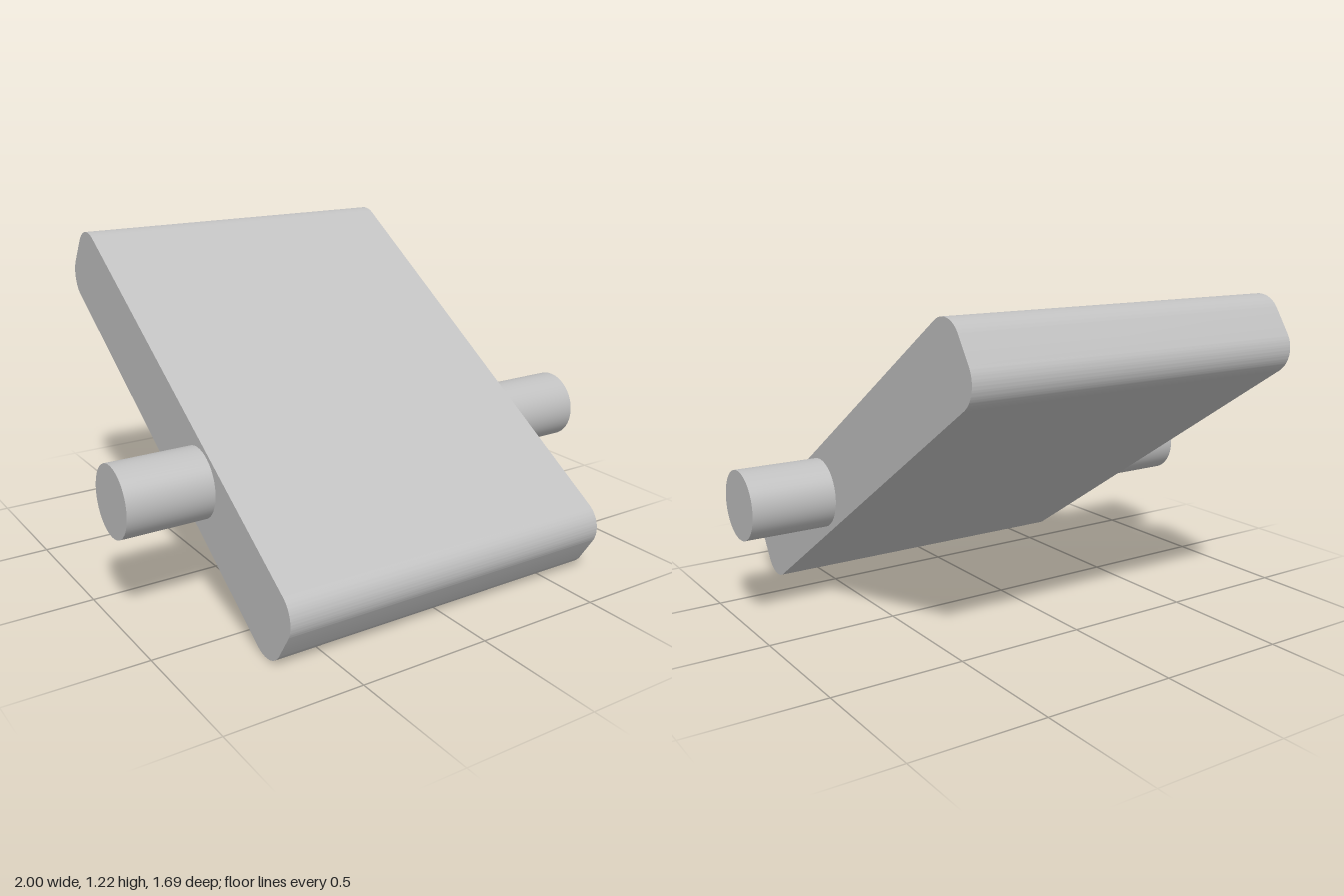
import * as THREE from 'three';
import { toCreasedNormals } from 'three/addons/utils/BufferGeometryUtils.js';

const WIDTH = 1.35, LENGTH = 1.914, THICK = 0.304, CORNER = 0.1;
const TILT = THREE.MathUtils.degToRad(33);

// Rounded rectangle centred on the origin
function roundedRect(length, height, r) {
  const a = length / 2 - r, b = height / 2 - r;
  const shape = new THREE.Shape();
  shape.absarc(a, b, r, 0, Math.PI / 2);
  shape.absarc(-a, b, r, Math.PI / 2, Math.PI);
  shape.absarc(-a, -b, r, Math.PI, Math.PI * 1.5);
  shape.absarc(a, -b, r, Math.PI * 1.5, Math.PI * 2);
  shape.closePath();
  return shape;
}

export function createModel() {
  const model = new THREE.Group();
  model.name = 'pivotingPaddle';
  const grey = new THREE.MeshStandardMaterial({ color: 0xc0c0c0 });
  grey.name = 'light grey';

  // Tilted slab, low end at the front
  const profile = roundedRect(LENGTH, THICK, CORNER);
  let slabGeometry = new THREE.ExtrudeGeometry(profile, {
    depth: WIDTH, bevelEnabled: false, curveSegments: 20,
  });
  slabGeometry.translate(0, 0, -WIDTH / 2);
  slabGeometry.rotateZ(TILT);
  slabGeometry.rotateY(Math.PI / 2);
  slabGeometry = toCreasedNormals(slabGeometry, 0.5);
  const slab = new THREE.Mesh(slabGeometry, grey);
  slab.name = 'slab';
  slab.position.y = 0.61;
  model.add(slab);

  // Pivot pins on both sides
  const pinLength = 1 - WIDTH / 2;
  const pinGeometry = new THREE.CylinderGeometry(0.132, 0.132, pinLength, 64);
  pinGeometry.rotateZ(Math.PI / 2);
  for (const [name, side] of [['leftPin', 1], ['rightPin', -1]]) {
    const pin = new THREE.Mesh(pinGeometry, grey);
    pin.name = name;
    pin.position.set(side * (WIDTH / 2 + pinLength / 2), 0.465, 0.23);
    model.add(pin);
  }
  return model;
}
